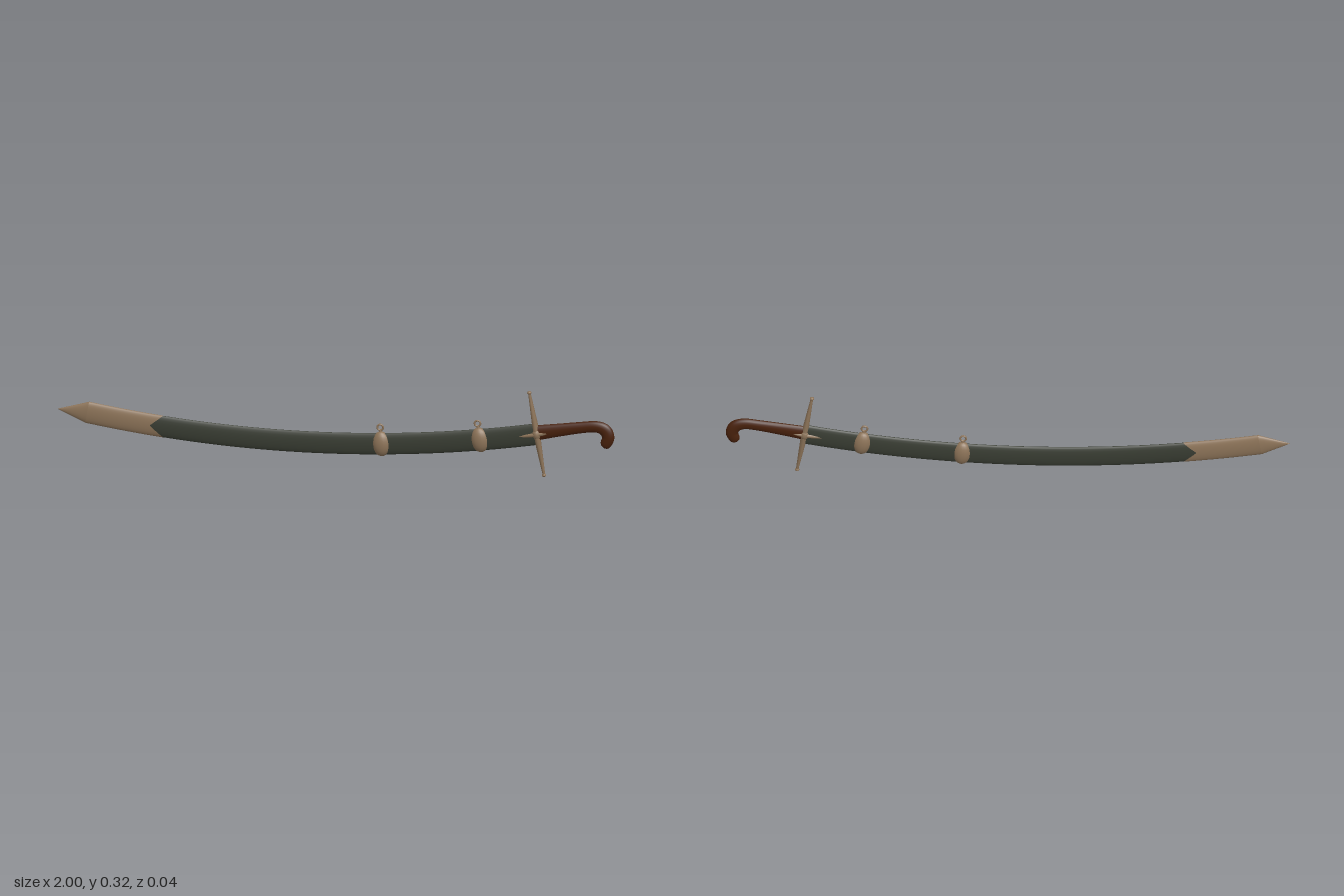
import * as THREE from 'three';

const bronze = new THREE.MeshStandardMaterial({ color: 0x8c7358 });
bronze.name = 'bronze';
const leather = new THREE.MeshStandardMaterial({ color: 0x383c32 });
leather.name = 'dark green leather';
const wood = new THREE.MeshStandardMaterial({ color: 0x48210c });
wood.name = 'dark wood';

// Closed tube surface: point(u, angle) with u running 0..1 along the part
function loft(name, material, rows, sides, point) {
  const pos = [], index = [];
  for (let i = 0; i <= rows; i++) {
    for (let j = 0; j < sides; j++) {
      pos.push(...point(i / rows, (j / sides) * Math.PI * 2).toArray());
    }
  }
  for (let i = 0; i < rows; i++) {
    for (let j = 0; j < sides; j++) {
      const k = (j + 1) % sides;
      const a = i * sides + j, b = i * sides + k;
      index.push(a, b, a + sides, b, b + sides, a + sides);
    }
  }
  const geo = new THREE.BufferGeometry();
  geo.setAttribute('position', new THREE.Float32BufferAttribute(pos, 3));
  geo.setIndex(index);
  geo.computeVertexNormals();
  const mesh = new THREE.Mesh(geo, material);
  mesh.name = name;
  return mesh;
}

// Sweep of the scabbard: centre height and slope at x
const curveY = x => Math.min(0.086 + 0.109 * (x + 0.12) ** 2, x < 0 ? 0.158 : 1);
const slope = x => 0.218 * (x + 0.12);

// Point on the oval section of the scabbard at x
function scabbardPoint(x, a, h, w) {
  const tilt = Math.atan(slope(x));
  const n = Math.cos(a) * h;
  return new THREE.Vector3(x - Math.sin(tilt) * n, curveY(x) + Math.cos(tilt) * n, Math.sin(a) * w);
}

function mesh(name, geo, material, x = 0, y = 0, z = 0) {
  const m = new THREE.Mesh(geo, material);
  m.name = name;
  m.position.set(x, y, z);
  return m;
}

// Hanging band with its ring, set square to the scabbard
function hangingBand(name, x) {
  const g = new THREE.Group();
  g.name = name;
  g.position.set(x, curveY(x), 0);
  g.rotation.z = Math.atan(slope(x));
  const band = mesh('band', new THREE.SphereGeometry(1, 16, 12), bronze);
  band.scale.set(0.032, 0.046, 0.022);
  g.add(band);
  g.add(mesh('ringStem', new THREE.CylinderGeometry(0.004, 0.007, 0.014, 8), bronze, 0, 0.046, 0));
  g.add(mesh('ring', new THREE.TorusGeometry(0.0105, 0.0035, 8, 18), bronze, 0, 0.061, 0));
  return g;
}

export function createModel() {
  const model = new THREE.Group();
  model.name = 'sheathedSabre';

  // Scabbard body and its closed mouth
  const H = 0.04, W = 0.0105, start = -0.69, mouth = 0.725;
  model.add(loft('scabbard', leather, 40, 20, (u, a) =>
    scabbardPoint(start + (mouth - start) * u, a, H, W)));
  model.add(loft('scabbardMouth', leather, 1, 20, (u, a) =>
    scabbardPoint(mouth, a, H * (1 - u), W * (1 - u))));

  // Chape with a notched upper edge, and its pointed tip
  const shoulder = -0.893, h2 = 0.0405, w2 = 0.0118;
  model.add(loft('chape', bronze, 12, 32, (u, a) => {
    const c = Math.cos(a);
    const edge = -0.668 + 0.042 * Math.abs(c) + (c < 0 ? -0.012 * c : 0);
    return scabbardPoint(shoulder + (edge - shoulder) * u, a, h2, w2);
  }));
  model.add(loft('chapeTip', bronze, 6, 32, (u, a) => {
    const p = scabbardPoint(shoulder, a, h2 * u, 0.002 + (w2 - 0.002) * u);
    if (u === 0) p.z = 0;
    p.x += (-1 - shoulder) * (1 - u);
    p.y += 0.007 * (1 - u);
    return p;
  }));

  // Hanging bands
  model.add(hangingBand('lowerHangingBand', 0.162));
  model.add(hangingBand('upperHangingBand', 0.516));

  // Crossguard: tapered quillons with knobs, and langets along the blade
  const guard = new THREE.Group();
  guard.name = 'crossguard';
  guard.position.set(0.72, 0.1635, 0);
  guard.rotation.z = 0.171;
  for (const s of [1, -1]) {
    const arm = mesh('quillon', new THREE.CylinderGeometry(0.0045, 0.0125, 0.154, 10), bronze, 0, s * 0.077, 0);
    arm.rotation.x = s > 0 ? 0 : Math.PI;
    arm.scale.z = 1.35;
    guard.add(arm);
    const knob = mesh('quillonKnob', new THREE.SphereGeometry(0.008, 12, 8), bronze, 0, s * 0.155, 0);
    knob.scale.y = 0.75;
    guard.add(knob);
    const length = s > 0 ? 0.07 : 0.092;
    const langet = mesh('langet', new THREE.CylinderGeometry(0.0045, 0.011, length, 10), bronze, s * length / 2, 0, 0);
    langet.rotation.z = -s * Math.PI / 2;
    langet.scale.z = 1.6;
    guard.add(langet);
    const end = mesh('langetEnd', new THREE.SphereGeometry(0.0055, 10, 8), bronze, s * length, 0, 0);
    end.scale.z = 1.4;
    guard.add(end);
  }
  const boss = mesh('guardBoss', new THREE.SphereGeometry(1, 14, 10), bronze);
  boss.scale.set(0.017, 0.022, 0.019);
  guard.add(boss);
  model.add(guard);

  // Grip curling down into the hooked pommel: x, y, half height, half thickness
  const stations = [
    [0.72, 0.168, 0.028, 0.012], [0.80, 0.183, 0.024, 0.012], [0.88, 0.197, 0.021, 0.0125],
    [0.932, 0.203, 0.021, 0.013], [0.965, 0.192, 0.023, 0.0135], [0.977, 0.166, 0.022, 0.0135],
    [0.969, 0.142, 0.02, 0.012], [0.964, 0.13, 0.014, 0.008], [0.961, 0.124, 0, 0],
  ];
  const path = new THREE.CatmullRomCurve3(stations.map(s => new THREE.Vector3(s[0], s[1], 0)));
  const size = new THREE.CatmullRomCurve3(stations.map(s => new THREE.Vector3(s[2], s[3], 0)));
  size.curveType = path.curveType = 'catmullrom';
  model.add(loft('grip', wood, 48, 18, (u, a) => {
    const p = path.getPoint(u), t = path.getTangent(u), s = size.getPoint(u);
    const n = Math.cos(a) * s.x;
    return new THREE.Vector3(p.x - t.y * n, p.y + t.x * n, Math.sin(a) * s.y);
  }));

  return model;
}
